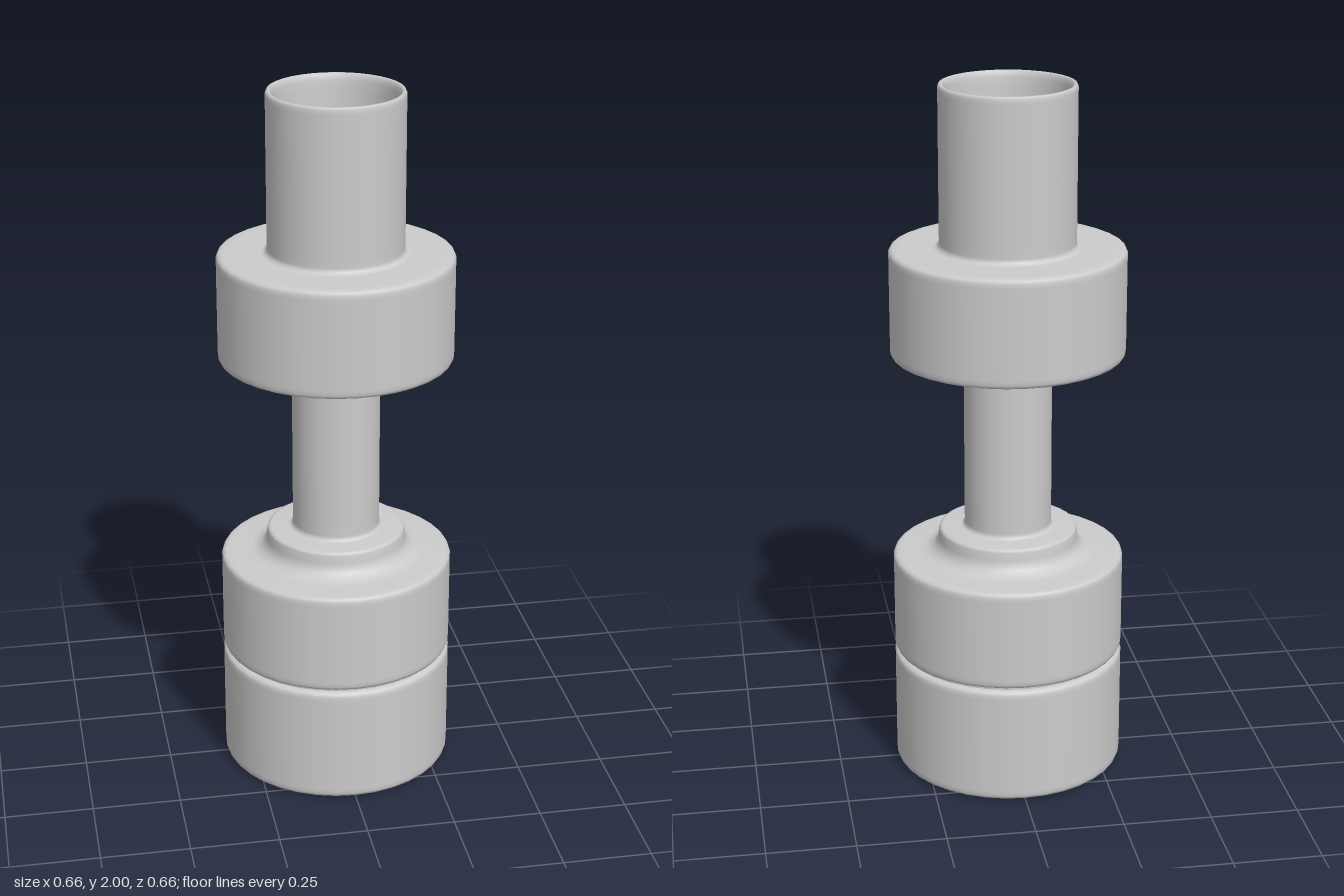
import * as THREE from 'three';

const material = new THREE.MeshStandardMaterial({ color: 0xcccccc });
const SEGMENTS = 36;

// Revolve a profile of [radius, height] points, listed along the outside from bottom to top
function turned(name, profile) {
  const points = profile.map(([r, y]) => new THREE.Vector2(r, y));
  const mesh = new THREE.Mesh(new THREE.LatheGeometry(points, SEGMENTS), material);
  mesh.name = name;
  return mesh;
}

// Vertical side wall with small rounded edges at both ends
function wall(r, y0, y1, b = 0.012) {
  return [
    [r - b, y0], [r - 0.3 * b, y0 + 0.3 * b], [r, y0 + b], [r, y0 + 2 * b],
    [r, y1 - 2 * b], [r, y1 - b], [r - 0.3 * b, y1 - 0.3 * b], [r - b, y1],
  ];
}

// Quarter-round concave corner from [r0, y0] to [r1, y1]; flat end is horizontal
function fillet(r0, y0, r1, y1, flatFirst) {
  return Array.from({ length: 6 }, (_, i) => {
    const a = (i / 5) * Math.PI / 2;
    const s = Math.sin(a), c = 1 - Math.cos(a);
    return flatFirst ? [r0 + (r1 - r0) * s, y0 + (y1 - y0) * c]
      : [r0 + (r1 - r0) * c, y0 + (y1 - y0) * s];
  });
}

export function createModel() {
  const group = new THREE.Group();
  group.name = 'turnedFitting';

  group.add(
    // Solid base drum, closed underneath
    turned('base', [[0, 0], [0.3, 0.002], ...wall(0.33, 0.005, 0.345), [0.312, 0.346]]),

    // Thin recessed ring between the two lower drums
    turned('groove', [[0.312, 0.346], [0.312, 0.354]]),

    // Lower collar rising through a curved shoulder to the stem
    turned('lowerCollar', [
      [0.312, 0.354], ...wall(0.33, 0.355, 0.645), [0.3, 0.645],
      ...fillet(0.25, 0.647, 0.2, 0.69, true),
      [0.198, 0.712], [0.195, 0.719], [0.187, 0.722], [0.16, 0.722], [0.135, 0.724],
    ]),

    // Narrow stem, flared slightly where it meets the collars
    turned('stem', [
      ...fillet(0.135, 0.724, 0.124, 0.738, true), [0.124, 0.76],
      [0.124, 1.2], ...fillet(0.124, 1.215, 0.148, 1.239, false),
    ]),

    // Upper collar
    turned('upperCollar', [
      [0.148, 1.239], [0.17, 1.24], [0.3, 1.24],
      ...wall(0.33, 1.241, 1.545), [0.3, 1.546], [0.206, 1.546],
    ]),

    // Socket tube with a tapered bore and a closed floor
    turned('socket', [
      ...fillet(0.206, 1.546, 0.19, 1.562, true), [0.19, 1.58],
      [0.19, 1.98], [0.19, 1.992], [0.187, 1.999], [0.181, 2],
      [0.175, 1.995], [0.172, 1.98], [0.17, 1.95],
      [0.154, 1.57], [0.153, 1.556], [0.148, 1.55], [0.138, 1.55], [0, 1.55],
    ]),
  );
  return group;
}
